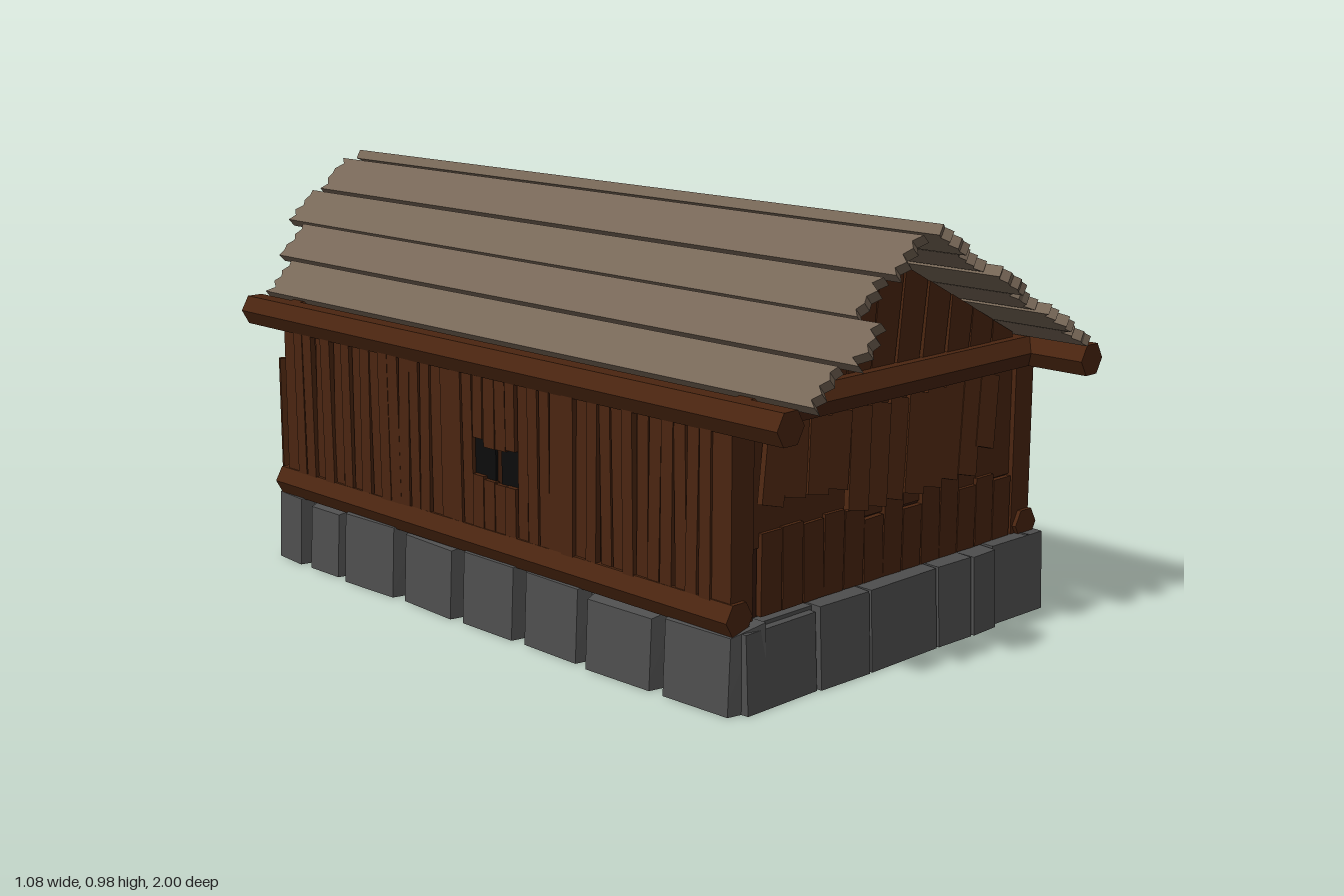
import * as THREE from 'three';

const mat = (name, color) => {
  const m = new THREE.MeshStandardMaterial({ color });
  m.name = name;
  return m;
};

export function createModel() {
  const wood = mat('brown wood', 0x4a2510);
  const darkWood = mat('dark wood', 0x34190a);
  const roofWood = mat('weathered roof wood', 0x776757);
  const stone = mat('grey stone', 0x4e4e4e);
  const black = mat('black opening', 0x0c0c0c);

  let seed = 7;
  const rnd = (a, b) => {
    seed = (seed * 16807) % 2147483647;
    return a + (b - a) * (seed / 2147483647);
  };

  const root = new THREE.Group();
  root.name = 'cabin';
  const group = (name) => {
    const g = new THREE.Group();
    g.name = name;
    root.add(g);
    return g;
  };
  const add = (parent, name, geo, material) => {
    const m = new THREE.Mesh(geo, material);
    m.name = name;
    parent.add(m);
    return m;
  };
  const box = (parent, name, material, w, h, d, x, y, z) => {
    const m = add(parent, name, new THREE.BoxGeometry(w, h, d), material);
    m.position.set(x, y, z);
    return m;
  };
  const extrude = (pts, depth) => new THREE.ExtrudeGeometry(
    new THREE.Shape(pts.map((p) => new THREE.Vector2(p[0], p[1]))), { depth, bevelEnabled: false });

  // Stone footing: a core ringed by blocks whose outer face is chamfered
  const footing = group('stoneFooting');
  box(footing, 'footingCore', stone, 0.98, 0.18, 1.56, 0, 0.09, 0.01);
  const block = (len, height, depth, inset) => {
    const g = new THREE.BoxGeometry(len, height, depth);
    const p = g.attributes.position;
    const bulge = [rnd(-0.012, 0), rnd(-0.012, 0)];
    for (let i = 0; i < p.count; i++) {
      if (p.getZ(i) < 0) continue;
      const right = p.getX(i) > 0, top = p.getY(i) > 0;
      p.setX(i, p.getX(i) + (right ? -inset : inset));
      if (top) p.setY(i, p.getY(i) - inset);
      p.setZ(i, p.getZ(i) + bulge[right ? 1 : 0] - (top ? 0.008 : 0));
    }
    g.computeVertexNormals();
    return g;
  };
  const stoneRow = (edges, outer, angle, inset, name) => {
    for (let i = 0; i < edges.length - 1; i++) {
      const len = edges[i + 1] - edges[i], mid = (edges[i] + edges[i + 1]) / 2;
      const h = rnd(0.175, 0.19), out = outer - rnd(0, 0.012);
      const m = add(footing, name, block(len, h, 0.1, inset), stone);
      m.rotation.y = angle;
      m.position.set(mid, h / 2, out - 0.05);
      m.position.applyAxisAngle(new THREE.Vector3(0, 1, 0), angle);
      m.position.y = h / 2;
    }
  };
  stoneRow([-0.5, -0.28, -0.12, 0.11, 0.23, 0.32, 0.51], 0.835, 0, 0.004, 'frontStone');
  stoneRow([-0.51, -0.32, -0.12, 0.06, 0.22, 0.38, 0.5], 0.825, Math.PI, 0.022, 'backStone');
  const sideEdges = [-0.81, -0.59, -0.36, -0.15, 0.06, 0.28, 0.5, 0.65, 0.79];
  stoneRow(sideEdges, 0.55, Math.PI / 2, 0.02, 'rightSideStone');
  stoneRow(sideEdges.map((e) => -e).reverse(), 0.545, -Math.PI / 2, 0.02, 'leftSideStone');

  // Doorstep
  box(footing, 'upperStep', stone, 0.24, 0.18, 0.14, -0.25, 0.09, -0.77);
  box(footing, 'lowerStep', stone, 0.22, 0.1, 0.13, -0.25, 0.05, -0.868);

  // Solid wall core with an uneven gable
  const roofY = (x) => (x < -0.13 ? 0.94 - (-0.13 - x) * 0.9 : 0.94 - (x + 0.13) * 0.5);
  const core = extrude([[-0.495, 0.17], [0.47, 0.17], [0.47, 0.63], [0.42, 0.655],
    [-0.13, 0.93], [-0.45, 0.645], [-0.495, 0.62]], 1.475);
  core.translate(0, 0, -0.715);
  add(root, 'wallCore', core, darkWood);

  // Corner posts
  const frame = group('timberFrame');
  for (const x of [-0.48, 0.46])
    for (const z of [-0.7, 0.745]) box(frame, 'cornerPost', wood, 0.065, 0.42, 0.07, x, 0.39, z);

  // Hexagonal beams
  const beam = (name, radius, len, x, y, z, alongX) => {
    let g = new THREE.CylinderGeometry(radius, radius, len, 6);
    g.rotateY(Math.PI / 6);
    g.rotateX(Math.PI / 2);
    if (alongX) g.rotateY(Math.PI / 2);
    g = g.toNonIndexed();
    g.computeVertexNormals();
    const m = add(frame, name, g, wood);
    m.position.set(x, y, z);
    return m;
  };
  beam('leftEaveBeam', 0.04, 1.8, -0.497, 0.617, 0.02);
  beam('rightEaveBeam', 0.04, 1.86, 0.472, 0.617, 0.02);
  beam('leftSill', 0.039, 1.55, -0.497, 0.2, 0.015);
  beam('rightSill', 0.039, 1.55, 0.472, 0.205, 0.015);
  for (const z of [-0.735, 0.775]) beam('tieBeam', 0.04, 0.97, -0.012, 0.617, z, true);

  // Vertical siding on the long walls, leaving window gaps
  const windowZ = [[-0.025, 0.045], [0.075, 0.145]];
  for (const side of [-1, 1]) {
    const wall = group(side < 0 ? 'leftSiding' : 'rightSiding');
    const face = side < 0 ? -0.5 : 0.475;
    for (const [a, b] of windowZ)
      box(wall, 'windowOpening', black, 0.006, 0.1, b - a + 0.01, face, 0.39, (a + b) / 2);
    const n = 38, step = 1.42 / n;
    for (let i = 0; i < n; i++) {
      const z = -0.69 + (i + 0.5) * step;
      const inWindow = windowZ.some(([a, b]) => z > a - 0.004 && z < b + 0.004);
      const spans = inWindow ? [[0.2, 0.345 + rnd(-0.01, 0.01)], [0.43 + rnd(-0.01, 0.01), 0.6]] : [[0.2, 0.6]];
      const x = face + side * rnd(0.001, 0.012), tilt = rnd(-0.02, 0.02);
      for (const [y0, y1] of spans) {
        const p = box(wall, 'sidingPlank', wood, 0.014, y1 - y0, step * rnd(0.82, 1), x, (y0 + y1) / 2, z);
        p.rotation.x = tilt;
      }
    }
  }

  // Front wall: upright lower boards and slanted upper boards that lean outward
  const front = group('frontSiding');
  for (let i = 0; i < 13; i++) {
    const top = 0.34 + rnd(-0.02, 0.03);
    const p = box(front, 'lowerBoard', wood, 0.062, top - 0.185, 0.014, -0.39 + i * 0.065, (top + 0.185) / 2, 0.772);
    p.rotation.z = rnd(-0.02, 0.02);
  }
  box(front, 'backingBoard', wood, 0.87, 0.26, 0.012, -0.01, 0.46, 0.764);
  for (let i = 0; i < 12; i++) {
    const long = i > 3 && i < 11;
    const h = long ? 0.22 : 0.165;
    const p = box(front, 'upperBoard', wood, 0.064, h, 0.014,
      -0.395 + i * 0.064, 0.59 - h / 2 - rnd(0, 0.012), 0.788 + rnd(-0.004, 0.004));
    p.rotation.set(-0.14, 0, -0.22 + rnd(-0.05, 0.05));
  }

  // Back wall: upright boards around a doorway and a small window
  const back = group('backSiding');
  box(back, 'doorOpening', black, 0.2, 0.31, 0.006, -0.24, 0.345, -0.717);
  box(back, 'backWindowOpening', black, 0.1, 0.11, 0.006, 0.13, 0.395, -0.717);
  for (let i = 0; i < 24; i++) {
    const w = 0.9 / 24, x = -0.455 + (i + 0.5) * w;
    let spans = [[0.18, 0.6]];
    if (x > -0.34 && x < -0.14) spans = [[0.5, 0.6]];
    else if (x > 0.09 && x < 0.17) spans = [[0.18, 0.345 + rnd(-0.01, 0.01)], [0.44, 0.6]];
    const z = -0.72 - rnd(0, 0.008), tilt = rnd(-0.03, 0.03);
    for (const [y0, y1] of spans) {
      const p = box(back, 'backBoard', wood, w * rnd(0.84, 1), y1 - y0, 0.014, x, (y0 + y1) / 2, z);
      p.rotation.z = tilt;
    }
  }

  // Door standing ajar, hinged on its outer edge
  const hinge = group('door');
  hinge.position.set(-0.34, 0.36, -0.733);
  hinge.rotation.y = -0.42;
  box(hinge, 'doorPanel', wood, 0.16, 0.28, 0.018, -0.08, 0, 0);

  // Gable boards cut to the roof line
  for (const [name, z] of [['frontGable', 0.762], ['backGable', -0.727]]) {
    const g = group(name);
    const n = 11, w = 0.86 / n;
    for (let i = 0; i < n; i++) {
      const a = -0.44 + i * w, b = a + w - 0.004, lean = Math.min(0.03, (roofY(b) - 0.65) * 0.15);
      const pts = [[a - lean, 0.63], [b - lean, 0.63], [b, roofY(b) - 0.004]];
      if (a < -0.13 && b > -0.13) pts.push([-0.13, 0.94]);
      pts.push([a, roofY(a) - 0.004]);
      const geo = extrude(pts, 0.012);
      geo.translate(0, 0, z + rnd(-0.003, 0.005));
      add(g, 'gableBoard', geo, wood);
    }
  }

  // Roof planks with splintered ends
  const roof = group('roof');
  const jagged = (w, z, dir) => {
    const pts = [];
    for (let i = 0; i <= 6; i++) pts.push([(w * i) / 6, z - dir * (i % 2 ? rnd(0.012, 0.03) : rnd(0, 0.012))]);
    return pts;
  };
  const slope = (name, x0, y0, x1, y1, ends) => {
    const angle = Math.atan2(y1 - y0, x1 - x0);
    const step = Math.hypot(x1 - x0, y1 - y0) / ends.length;
    ends.forEach(([zBack, zFront], i) => {
      const w = step * 0.93;
      const geo = extrude([...jagged(w, zBack, -1), ...jagged(w, zFront, 1).reverse()], 0.024);
      geo.rotateX(Math.PI / 2);
      const m = add(roof, name, geo, roofWood);
      m.rotation.z = angle + (i % 2 ? 0.03 : -0.02);
      m.position.set(x0 + Math.cos(angle) * step * i, y0 + Math.sin(angle) * step * i, 0);
    });
  };
  slope('steepRoofPlank', -0.472, 0.66, -0.145, 0.965,
    [[-0.87, 0.96], [-0.93, 1], [-1, 0.93], [-0.97, 0.96]]);
  slope('shallowRoofPlank', -0.12, 0.983, 0.455, 0.668,
    [[-0.94, 0.99], [-0.97, 0.96], [-0.93, 1], [-0.96, 0.96], [-0.93, 0.99], [-0.96, 0.97]]);

  return root;
}
